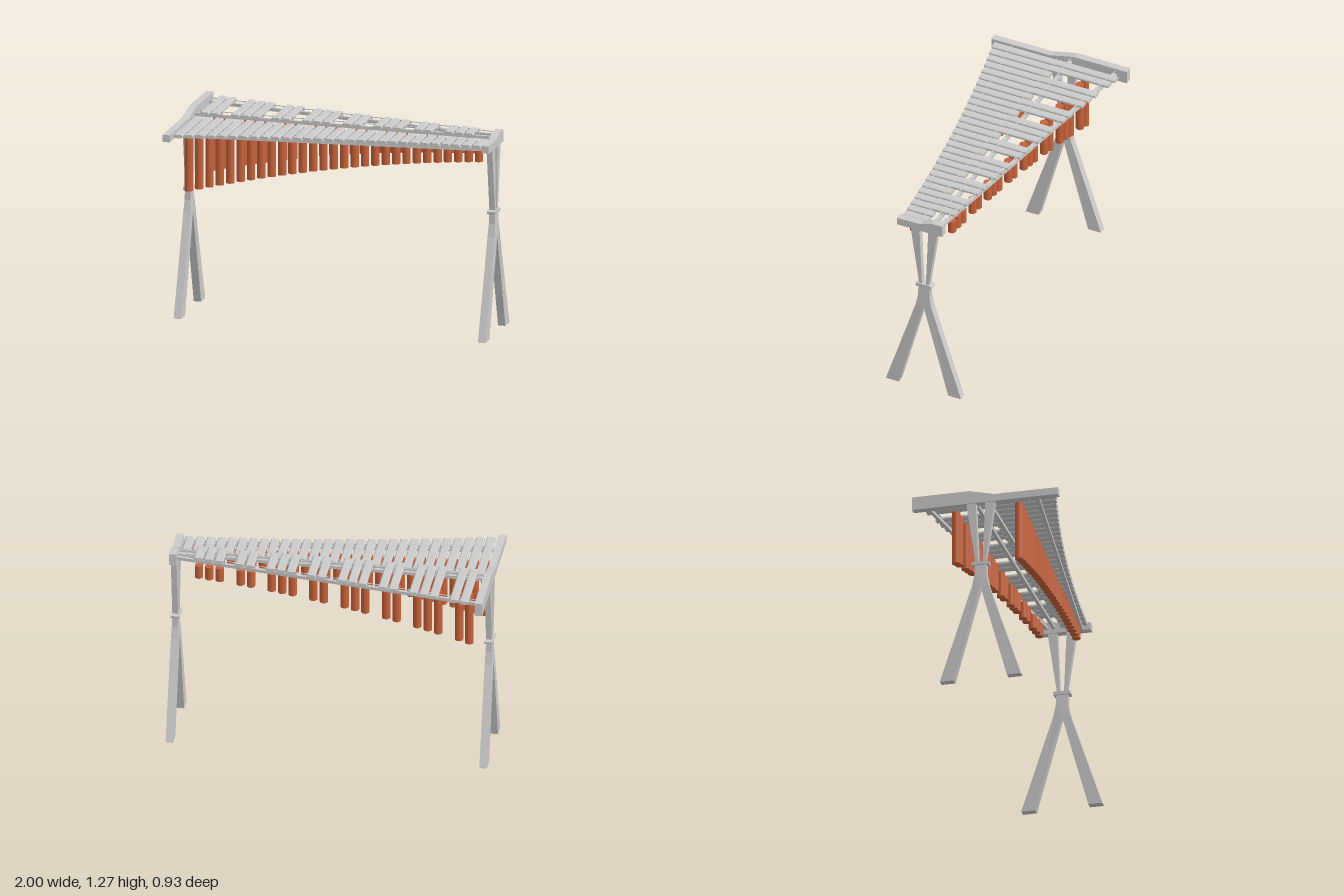
import * as THREE from 'three';

const grey = new THREE.MeshStandardMaterial({ color: 0xcccccc, flatShading: true });
const copper = new THREE.MeshStandardMaterial({ color: 0xc8623a });

const NATURALS = 29, PITCH = 0.0652, X0 = -0.912;
const END_X = 0.976, BEAM_W = 0.047, LEG_Z = -0.029;
const lerp = THREE.MathUtils.lerp;
const barX = i => X0 + i * PITCH;

function add(parent, name, geometry, material = grey) {
  const mesh = new THREE.Mesh(geometry, material);
  mesh.name = name;
  parent.add(mesh);
  return mesh;
}

function shapeOf(points) {
  return new THREE.Shape(points.map(([a, b]) => new THREE.Vector2(a, b)));
}

// Side profile given as (z, y) points, given a thickness along x
function slab(points, width) {
  const g = new THREE.ExtrudeGeometry(shapeOf(points), { depth: width, bevelEnabled: false });
  return g.translate(0, 0, -width / 2).rotateY(-Math.PI / 2);
}

// Box or round member running between two points
function member(parent, name, a, b, w, h, round = false) {
  const len = a.distanceTo(b);
  const g = round
    ? new THREE.CylinderGeometry(w / 2, w / 2, len, 6).rotateX(Math.PI / 2)
    : new THREE.BoxGeometry(w, h, len);
  const mesh = add(parent, name, g);
  mesh.position.copy(a).lerp(b, 0.5);
  mesh.lookAt(b);
  return mesh;
}

// Tone bar with chamfered edges, from zBack to zFront
function toneBar(parent, name, x, y, zBack, zFront) {
  const w = 0.0265, h = 0.011, c = 0.006;
  const section = [[-w + c, -h], [w - c, -h], [w, -h + c], [w, h - c],
    [w - c, h], [-w + c, h], [-w, h - c], [-w, -h + c]];
  const g = new THREE.ExtrudeGeometry(shapeOf(section), { depth: zFront - zBack, bevelEnabled: false });
  add(parent, name, g).position.set(x, y, zBack);
}

// Resonator tube hanging below a bar
function tube(parent, name, x, z, bottom) {
  const top = 1.19;
  const g = new THREE.CylinderGeometry(0.026, 0.026, top - bottom, 18);
  add(parent, name, g, copper).position.set(x, (top + bottom) / 2, z);
}

// Square rail with a cord above it, held by pins between the bars
function railWithCord(parent, name, z0, z1, railY, cordY, pinOffset) {
  const X = 0.956;
  const at = (x, y) => new THREE.Vector3(x, y, lerp(z0, z1, (x + X) / (2 * X)));
  member(parent, name + 'Rail', at(-X, railY), at(X, railY), 0.02, 0.02);
  member(parent, name + 'Cord', at(-X, cordY), at(X, cordY), 0.006, 0, true);
  for (let i = 0; i < NATURALS - 1; i++) {
    const x = barX(i + pinOffset);
    member(parent, name + 'Pin', at(x, railY), at(x, cordY + 0.004), 0.008, 0, true);
  }
}

// Leg stand: splayed feet, collar and two upper arms
function stand(x) {
  const g = new THREE.Group();
  g.name = 'legStand';
  const half = [[0.257, 0], [0.169, 0], [0, 0.62]];
  const outer = [[0.038, 0.77], [0.038, 0.7], [0.054, 0.62]];
  const mirror = pts => pts.map(([z, y]) => [-z, y]).reverse();
  const legGeo = slab([...half, ...mirror(half.slice(0, 2)), ...mirror(outer), ...outer], BEAM_W);
  // Narrow the neck slightly below the collar
  const p = legGeo.attributes.position;
  for (let i = 0; i < p.count; i++) {
    if (p.getY(i) > 0.65) p.setX(i, p.getX(i) * (p.getY(i) > 0.75 ? 0.72 : 0.85));
  }
  legGeo.computeVertexNormals();
  add(g, 'splayedLegs', legGeo);
  const collar = [[0.05, 0.764], [0.054, 0.77], [0.054, 0.781], [0.046, 0.787]];
  add(g, 'collar', slab([...collar, ...mirror(collar)], 0.052));
  const arm = [[0.013, 0.78], [0.031, 0.78], [0.091, 1.19], [0.03, 1.19]];
  add(g, 'upperArm', slab(arm, 0.036));
  add(g, 'upperArm', slab(mirror(arm), 0.036));
  g.position.set(x, 0, LEG_Z);
  return g;
}

export function createModel() {
  const model = new THREE.Group();
  model.name = 'marimba';

  // End beams, stepped up towards the raised back row
  const wide = [[0.463, 1.185], [0.463, 1.23], [0.06, 1.232], [-0.1, 1.27], [-0.463, 1.27], [-0.463, 1.185]];
  const narrow = [[0.153, 1.185], [0.153, 1.232], [-0.01, 1.236], [-0.085, 1.262], [-0.157, 1.262], [-0.157, 1.185]];
  add(model, 'wideEndBeam', slab(wide, BEAM_W)).position.x = -END_X;
  add(model, 'narrowEndBeam', slab(narrow, BEAM_W)).position.x = END_X;
  for (const s of [-1, 1]) model.add(stand(s * END_X));

  // Rails and cords
  railWithCord(model, 'frontOuter', 0.325, 0.095, 1.196, 1.219, 0.5);
  railWithCord(model, 'frontInner', 0.015, 0.015, 1.196, 1.219, 0.5);
  railWithCord(model, 'backInner', -0.08, -0.08, 1.224, 1.251, 0);
  railWithCord(model, 'backOuter', -0.385, -0.125, 1.224, 1.251, 0);

  // Front row and raised back row, each bar with its resonator
  const tubeBottom = t => 0.813 + 0.489 * t - 0.19 * t * t;
  for (let i = 0; i < NATURALS; i++) {
    const t = i / (NATURALS - 1);
    toneBar(model, 'frontBar', barX(i), 1.217, -0.027, 0.43 - 0.43 * t + 0.14 * t * t);
    tube(model, 'frontResonator', barX(i), lerp(0.196, 0.075, t), tubeBottom(t));
    if (i === NATURALS - 1 || [2, 6].includes(i % 7)) continue;
    const u = (i + 0.5) / (NATURALS - 1), x = barX(i + 0.5);
    toneBar(model, 'backBar', x, 1.246, -0.435 + 0.36 * u - 0.08 * u * u, -0.02);
    tube(model, 'backResonator', x, lerp(-0.215, -0.13, u), tubeBottom(u) + 0.023 * (1 - u));
  }
  return model;
}
